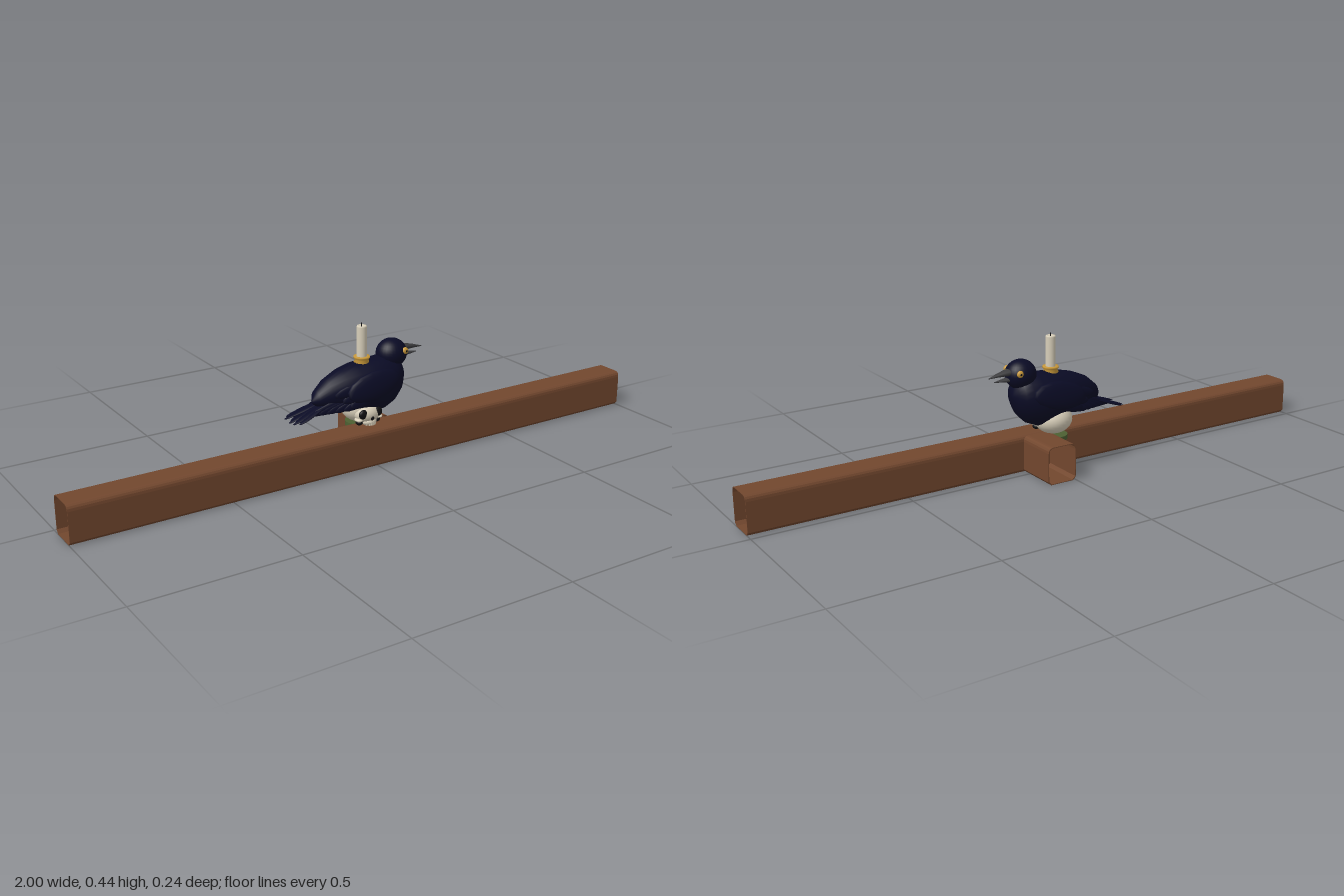
import * as THREE from 'three';

const mat = (name, color, side = THREE.FrontSide) => {
  const m = new THREE.MeshStandardMaterial({ color, side });
  m.name = name;
  return m;
};

export function createModel() {
  const model = new THREE.Group();
  const navy = mat('navy plumage', 0x0a0b25);
  const brown = mat('brown timber', 0x72472e, THREE.DoubleSide);
  const cream = mat('bone and wax', 0xd6cdb8);
  const gold = mat('gold', 0xc8983a);
  const horn = mat('dark horn', 0x3c3c3e);
  const black = mat('black', 0x101012);
  const green = mat('moss green', 0x4d6032);
  const ZC = 0.02; // depth of the bird's centre line

  const add = (name, geo, material, parent = model, x = 0, y = 0, z = 0) => {
    const mesh = new THREE.Mesh(geo, material);
    mesh.name = name;
    mesh.position.set(x, y, z);
    parent.add(mesh);
    return mesh;
  };

  const ball = (name, material, parent, p, r) => {
    const mesh = add(name, new THREE.SphereGeometry(1, 28, 18), material, parent, ...p);
    mesh.scale.set(...r);
    return mesh;
  };

  // Smooth skin over rings along +x: [x, top, bottom, half width]
  const loft = (rings, n = 24) => {
    const pos = [], idx = [];
    rings.forEach(([x, top, bottom, w], i) => {
      for (let j = 0; j < n; j++) {
        const a = (j / n) * Math.PI * 2;
        pos.push(x, (top + bottom) / 2 + Math.cos(a) * (top - bottom) / 2, Math.sin(a) * w);
        if (i === 0) continue;
        const k = (j + 1) % n, p = (i - 1) * n, q = i * n;
        idx.push(p + j, p + k, q + j, p + k, q + k, q + j);
      }
    });
    const g = new THREE.BufferGeometry();
    g.setAttribute('position', new THREE.Float32BufferAttribute(pos, 3));
    g.setIndex(idx);
    g.computeVertexNormals();
    return g;
  };

  // Flat feather from a to b, lying square to the direction "up"
  const feather = (name, parent, a, b, width, thick, up) => {
    const A = new THREE.Vector3(...a), B = new THREE.Vector3(...b);
    const mesh = new THREE.Mesh(new THREE.SphereGeometry(1, 14, 10), navy);
    mesh.name = name;
    mesh.up.set(...up);
    mesh.position.copy(A).add(B).multiplyScalar(0.5);
    mesh.lookAt(B);
    mesh.scale.set(width / 2, thick / 2, A.distanceTo(B) / 2);
    parent.add(mesh);
  };

  // Beam section, rounded on top and bevelled below
  const section = (Kind, t) => {
    const s = new Kind(), w = 0.05 - t, h = 0.12 - t, r = 0.018, c = 0.01;
    s.moveTo(-w + c, t);
    s.lineTo(w - c, t);
    s.lineTo(w, t + c);
    s.lineTo(w, h - r);
    s.quadraticCurveTo(w, h, w - r, h);
    s.lineTo(-w + r, h);
    s.quadraticCurveTo(-w, h, -w, h - r);
    s.lineTo(-w, t + c);
    s.closePath();
    return s;
  };
  const extrude = (shape, depth) =>
    new THREE.ExtrudeGeometry(shape, { depth, bevelEnabled: false, curveSegments: 4 });
  const beam = (length) => {
    const s = section(THREE.Shape, 0);
    s.holes.push(section(THREE.Path, 0.002));
    return extrude(s, length);
  };
  add('longBeam', beam(2), brown, model, -1, 0, 0.07).rotation.y = Math.PI / 2;
  add('shortBeam', beam(0.14), brown, model, 0.05, 0, -0.12);
  // Walls inside the long beam where the short one joins it
  for (const x of [0, 0.096])
    add('joint', extrude(section(THREE.Shape, 0.001), 0.004), brown, model, x, 0, 0.07).rotation.y = Math.PI / 2;

  // Skull under the bird, facing the front
  const skull = new THREE.Group();
  skull.name = 'skull';
  model.add(skull);
  add('skullBase', new THREE.CylinderGeometry(0.042, 0.042, 0.014, 28), green, skull, 0, 0.109, 0);
  ball('cranium', cream, skull, [0, 0.166, 0.008], [0.061, 0.048, 0.062]);
  ball('face', cream, skull, [0, 0.155, 0.05], [0.044, 0.03, 0.034]);
  ball('jaw', cream, skull, [0, 0.132, 0.06], [0.026, 0.014, 0.022]);
  for (const s of [-1, 1]) {
    ball('eyeSocket', black, skull, [s * 0.026, 0.16, 0.071], [0.016, 0.015, 0.009]);
    ball('cheekbone', cream, skull, [s * 0.036, 0.141, 0.058], [0.012, 0.006, 0.016]);
    ball('cheekHollow', black, skull, [s * 0.032, 0.131, 0.055], [0.011, 0.009, 0.013]);
  }
  ball('noseHole', black, skull, [0, 0.147, 0.081], [0.006, 0.008, 0.005]);
  for (let i = -2; i <= 2; i++)
    add('tooth', new THREE.BoxGeometry(0.006, 0.01, 0.006), cream, skull, i * 0.0075, 0.128, 0.08 - i * i * 0.002);

  // Bird, facing +x
  const bird = new THREE.Group();
  bird.name = 'bird';
  bird.position.z = ZC;
  model.add(bird);
  add('body', loft([
    [-0.18, 0.222, 0.212, 0.004], [-0.165, 0.25, 0.2, 0.026], [-0.13, 0.28, 0.187, 0.043],
    [-0.08, 0.302, 0.176, 0.061], [-0.03, 0.314, 0.166, 0.072], [0.02, 0.319, 0.155, 0.077],
    [0.06, 0.322, 0.15, 0.075], [0.095, 0.32, 0.165, 0.066], [0.12, 0.312, 0.19, 0.053],
    [0.135, 0.295, 0.22, 0.035], [0.141, 0.262, 0.25, 0.005], [0.1411, 0.256, 0.256, 0],
  ]), navy, bird);
  ball('head', navy, bird, [0.11, 0.323, 0], [0.05, 0.047, 0.047]);
  add('upperBeak', loft([
    [0.14, 0.348, 0.322, 0.02], [0.165, 0.344, 0.325, 0.016],
    [0.195, 0.336, 0.325, 0.008], [0.225, 0.326, 0.324, 0.001],
  ], 12), horn, bird);
  add('lowerBeak', loft([
    [0.14, 0.323, 0.303, 0.017], [0.165, 0.318, 0.306, 0.012],
    [0.185, 0.315, 0.308, 0.007], [0.205, 0.312, 0.31, 0.001],
  ], 12), horn, bird);

  for (const s of [-1, 1]) {
    ball('eye', gold, bird, [0.135, 0.335, s * 0.039], [0.011, 0.011, 0.008]);
    ball('pupil', black, bird, [0.136, 0.335, s * 0.045], [0.004, 0.004, 0.003]);

    // Wing: shoulder, coverts and long flight feathers
    const wing = new THREE.Group();
    wing.name = s > 0 ? 'rightWing' : 'leftWing';
    bird.add(wing);
    const up = [0, 0.2, s];
    feather('shoulder', wing, [0.1, 0.268, s * 0.062], [-0.09, 0.236, s * 0.064], 0.09, 0.035, up);
    for (let i = 0; i < 3; i++)
      feather('covert', wing, [0.06 - i * 0.02, 0.274 - i * 0.02, s * 0.067],
        [-0.13 + i * 0.025, 0.238 - i * 0.02, s * (0.05 + i * 0.006)], 0.042, 0.016, up);
    for (let i = 0; i < 5; i++)
      feather('flightFeather', wing, [0.02, 0.25 - i * 0.006, s * 0.064],
        [-0.205 + i * 0.026, 0.182 + i * 0.002, s * (0.024 + i * 0.008)], 0.03, 0.01, up);
  }

  // Tail fan with a ragged end
  for (let i = -3; i <= 3; i++)
    feather('tailFeather', bird, [-0.12, 0.215, i * 0.004],
      [-0.262 + (Math.abs(i) % 2) * 0.014, 0.164 + Math.abs(i) * 0.002, i * 0.014], 0.026, 0.008, [0, 1, 0]);

  // Candle in a gold holder on the bird's back
  const candle = new THREE.Group();
  candle.name = 'candle';
  candle.position.z = ZC;
  model.add(candle);
  const lathe = (points) => new THREE.LatheGeometry(points.map(p => new THREE.Vector2(...p)), 28);
  add('holder', lathe([[0, 0.305], [0.02, 0.305], [0.025, 0.314], [0.02, 0.321],
    [0.026, 0.327], [0.025, 0.332], [0.016, 0.332]]), gold, candle);
  add('wax', lathe([[0.016, 0.32], [0.016, 0.425], [0.0145, 0.429], [0.011, 0.429], [0, 0.426]]), cream, candle);
  add('wick', new THREE.CylinderGeometry(0.0015, 0.0015, 0.014, 8), black, candle, 0, 0.431, 0);

  return model;
}
